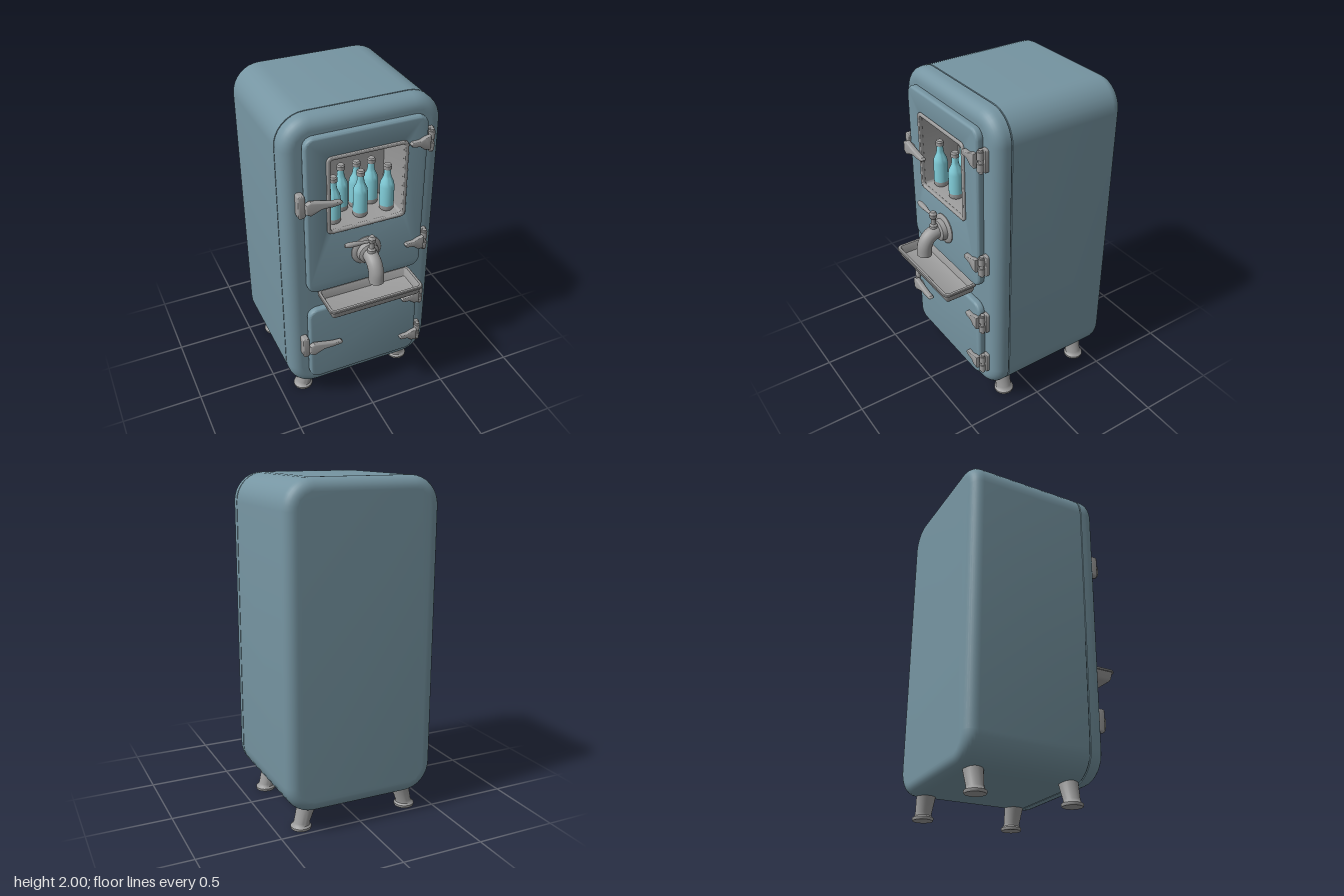
import * as THREE from 'three';
import { mergeGeometries, toCreasedNormals } from 'three/addons/utils/BufferGeometryUtils.js';

const mat = (name, color) => Object.assign(new THREE.MeshStandardMaterial({ color }), { name });

// Rounded rectangle outline, counter-clockwise, half sizes w and h
function roundRect(w, h, r, n = 8) {
  const pts = [];
  for (let c = 0; c < 4; c++) {
    const sx = c === 0 || c === 3 ? 1 : -1, sy = c < 2 ? 1 : -1;
    for (let i = 0; i <= n; i++) {
      const a = (c + i / n) * Math.PI / 2;
      pts.push(new THREE.Vector2(sx * (w - r) + r * Math.cos(a), sy * (h - r) + r * Math.sin(a)));
    }
  }
  return pts;
}

// Capped skin through rounded rectangles; sections are [z, inset]
function loft(w, h, r, sections, hole) {
  const rings = sections.map(([, d]) => roundRect(w - d, h - d, Math.max(r - d, 0.005)));
  const n = rings[0].length, pos = [];
  const put = (s, j) => pos.push(rings[s][j % n].x, rings[s][j % n].y, sections[s][0]);
  for (let s = 0; s + 1 < rings.length; s++) {
    for (let j = 0; j < n; j++) {
      put(s, j); put(s, j + 1); put(s + 1, j + 1);
      put(s, j); put(s + 1, j + 1); put(s + 1, j);
    }
  }
  const skin = new THREE.BufferGeometry();
  skin.setAttribute('position', new THREE.Float32BufferAttribute(pos, 3));
  const cap = (s, flip) => {
    const shape = new THREE.Shape(rings[s]);
    if (hole && !flip) shape.holes.push(new THREE.Path(hole));
    const g = new THREE.ShapeGeometry(shape).toNonIndexed();
    g.deleteAttribute('uv'); g.deleteAttribute('normal');
    if (flip) g.rotateY(Math.PI);
    return g.translate(0, 0, sections[s][0]);
  };
  return toCreasedNormals(mergeGeometries([skin, cap(0, true), cap(rings.length - 1, false)]), 0.6);
}

// Bevelled plate from an outline, spanning z0 to z1
function plate(outline, z0, z1, bevel, hole) {
  const shape = new THREE.Shape(outline);
  if (hole) shape.holes.push(new THREE.Path(hole));
  const g = new THREE.ExtrudeGeometry(shape, {
    depth: z1 - z0 - 2 * bevel, bevelThickness: bevel, bevelSize: bevel, bevelOffset: -bevel, bevelSegments: 3,
  });
  return toCreasedNormals(g.translate(0, 0, z0 + bevel), 0.6);
}

const lathe = (pts, seg = 24) =>
  toCreasedNormals(new THREE.LatheGeometry(pts.map(p => new THREE.Vector2(...p)), seg), 0.6);
const moved = (pts, x, y) => pts.map(p => new THREE.Vector2(p.x + x, p.y + y));
const outline = pts => pts.map(p => new THREE.Vector2(...p));

export function createModel() {
  const root = new THREE.Group();
  root.name = 'retroFridge';
  const blue = mat('enamelBlue', 0x7695a2);
  const metal = mat('metalGrey', 0x9c9c9c);
  const cyan = mat('bottleCyan', 0x80ccd8);
  const add = (name, geo, m, x = 0, y = 0, z = 0, parent = root) => {
    const mesh = new THREE.Mesh(geo, m);
    mesh.name = name;
    mesh.position.set(x, y, z);
    parent.add(mesh);
    return mesh;
  };
  const group = (name, x, y, z) => {
    const g = new THREE.Group();
    g.name = name;
    g.position.set(x, y, z);
    root.add(g);
    return g;
  };

  // Cabinet with rounded edges, a seam groove and a window opening
  const R = 0.07, back = [], front = [];
  for (let i = 0; i <= 8; i++) {
    const a = i / 8 * Math.PI / 2;
    back.push([-0.535 + R * (1 - Math.sin(a)), R * (1 - Math.cos(a))]);
    front.push([0.305 - R * (1 - Math.sin(a)), R * (1 - Math.cos(a))]);
  }
  const seam = [[0.2, 0], [0.201, 0.006], [0.206, 0.006], [0.207, 0]];
  const midY = 1.065, winY = 1.545;
  add('cabinet', loft(0.47, 0.935, 0.17, [...back.reverse(), ...seam, ...front],
    moved(roundRect(0.23, 0.235, 0.02, 4), 0, winY - midY)), blue, 0, midY);

  // Doors
  add('upperDoor', plate(roundRect(0.36, 0.5, 0.06), 0.3, 0.347, 0.014,
    moved(roundRect(0.23, 0.235, 0.02, 4), 0, winY - 1.41)), blue, 0, 1.41);
  add('lowerDoor', plate(roundRect(0.36, 0.273, 0.06), 0.3, 0.347, 0.014), blue, 0, 0.502);

  // Window frame and lined recess
  add('windowFrame', plate(roundRect(0.24, 0.242, 0.03), 0.335, 0.357, 0.006, roundRect(0.218, 0.222, 0.015, 4)), metal, 0, winY);
  add('recessLining', plate(roundRect(0.234, 0.238, 0.02), 0.1, 0.34, 0.001, roundRect(0.22, 0.224, 0.015, 4)), metal, 0, winY);
  add('recessBack', new THREE.BoxGeometry(0.46, 0.47, 0.01), metal, 0, winY, 0.1);

  // Bottles in two rows
  const base = lathe([[0, 0], [0.038, 0], [0.042, 0.006], [0.042, 0.03]]);
  const glass = lathe([[0.042, 0.03], [0.042, 0.15], [0.038, 0.175], [0.024, 0.205], [0.02, 0.225], [0.018, 0.26]]);
  const capGeo = lathe([[0.018, 0.255], [0.024, 0.258], [0.024, 0.28], [0.018, 0.288], [0, 0.288]]);
  for (const [x, z] of [[-0.165, 0.26], [0, 0.26], [0.165, 0.26], [-0.075, 0.16], [0.02, 0.16], [0.112, 0.16]]) {
    const b = group('bottle', x, 1.322, z);
    add('bottleBase', base, metal, 0, 0, 0, b);
    add('bottleGlass', glass, cyan, 0, 0, 0, b);
    add('bottleCap', capGeo, metal, 0, 0, 0, b);
  }

  // Tap: wall flange, bent spout, stem and lever
  const tap = group('tap', 0, 1.13, 0);
  const flange = lathe([[0.092, 0.34], [0.092, 0.352], [0.08, 0.362], [0.066, 0.364], [0.062, 0.392], [0.05, 0.4], [0, 0.4]], 32);
  add('tapFlange', flange.rotateX(Math.PI / 2), metal, 0, 0, 0, tap);
  const bend = new THREE.CatmullRomCurve3([[0.37, 0], [0.41, 0], [0.455, -0.022], [0.482, -0.065], [0.49, -0.13]]
    .map(([z, y]) => new THREE.Vector3(0, y, z)));
  add('tapSpout', new THREE.TubeGeometry(bend, 24, 0.044, 20), metal, 0, 0, 0, tap);
  add('spoutEnd', new THREE.CircleGeometry(0.044, 20).rotateX(Math.PI / 2), metal, 0, -0.13, 0.49, tap);
  add('tapStem', lathe([[0.026, 0], [0.024, 0.03], [0.015, 0.04], [0.014, 0.075], [0.022, 0.085],
    [0.024, 0.105], [0.014, 0.12], [0, 0.124]], 16), metal, 0, 0.02, 0.418, tap);
  const lever = add('tapLever', lathe([[0, -0.01], [0.01, -0.01], [0.009, 0.05], [0.015, 0.1], [0.016, 0.145],
    [0.01, 0.165], [0, 0.168]], 16), metal, 0, 0.108, 0.418, tap);
  lever.rotation.z = Math.PI / 2 - 0.08;

  // Drip tray
  const tray = loft(0.298, 0.111, 0.035, [[0, 0.035], [0.004, 0.026], [0.015, 0.018], [0.055, 0.008], [0.056, 0],
    [0.066, 0], [0.07, 0.004], [0.07, 0.018], [0.064, 0.022], [0.018, 0.032], [0.014, 0.038]]);
  add('dripTray', tray.rotateX(-Math.PI / 2), metal, 0, 0.825, 0.418);

  // Hinges
  const armShape = outline([[0.365, -0.042], [0.365, 0.042], [0.33, 0.036], [0.3, 0.022], [0.255, 0.022],
    [0.245, 0.01], [0.255, -0.006], [0.3, -0.012], [0.33, -0.036]]).reverse();
  const arm = plate(armShape, 0.343, 0.372, 0.005);
  const pin = new THREE.CylinderGeometry(0.013, 0.013, 0.136, 12);
  const knuckle = new THREE.CylinderGeometry(0.019, 0.019, 0.045, 16);
  const leaf = plate(roundRect(0.022, 0.068, 0.012, 4), 0.3, 0.325, 0.004);
  for (const y of [1.75, 1.085, 0.665, 0.35]) {
    const h = group('hinge', 0, y, 0);
    add('hingeArm', arm, metal, 0, 0, 0, h);
    add('hingeLeaf', leaf, metal, 0.385, 0, 0, h);
    add('hingePin', pin, metal, 0.384, 0, 0.338, h);
    for (const s of [-1, 1]) add('hingeKnuckle', knuckle, metal, 0.382, s * 0.034, 0.34, h);
  }

  // Latches with pull handles
  const pull = plate(outline([[-0.372, -0.03], [-0.345, -0.045], [-0.31, -0.03], [-0.28, -0.018], [-0.22, -0.02],
    [-0.17, -0.016], [-0.158, -0.004], [-0.17, 0.008], [-0.22, 0.012], [-0.28, 0.026], [-0.345, 0.042], [-0.372, 0.03]]),
  0.355, 0.388, 0.009);
  const boss = new THREE.CylinderGeometry(0.022, 0.028, 0.05, 16).rotateX(Math.PI / 2);
  const catchGeo = plate(roundRect(0.02, 0.07, 0.012, 4), 0.3, 0.355, 0.006);
  for (const y of [1.52, 0.505]) {
    const l = group('latch', 0, y, 0);
    add('latchHandle', pull, metal, 0, 0, 0, l);
    add('latchBoss', boss, metal, -0.325, 0, 0.352, l);
    add('latchCatch', catchGeo, metal, -0.385, 0, 0, l);
  }

  // Splayed legs: each lathe leans outward towards its foot
  for (const s of [-1, 1]) {
    for (const z of [0.155, -0.42]) {
      const g = lathe([[0, 0], [0.058, 0], [0.061, 0.006], [0.061, 0.016], [0.05, 0.026], [0.047, 0.04],
        [0.055, 0.13], [0.058, 0.2], [0, 0.2]]);
      const p = g.attributes.position;
      for (let i = 0; i < p.count; i++) p.setX(i, p.getX(i) - s * Math.max(0, p.getY(i) - 0.02) * 0.3);
      add('leg', toCreasedNormals(g, 0.6), metal, s * 0.346, 0, z);
    }
  }
  return root;
}
